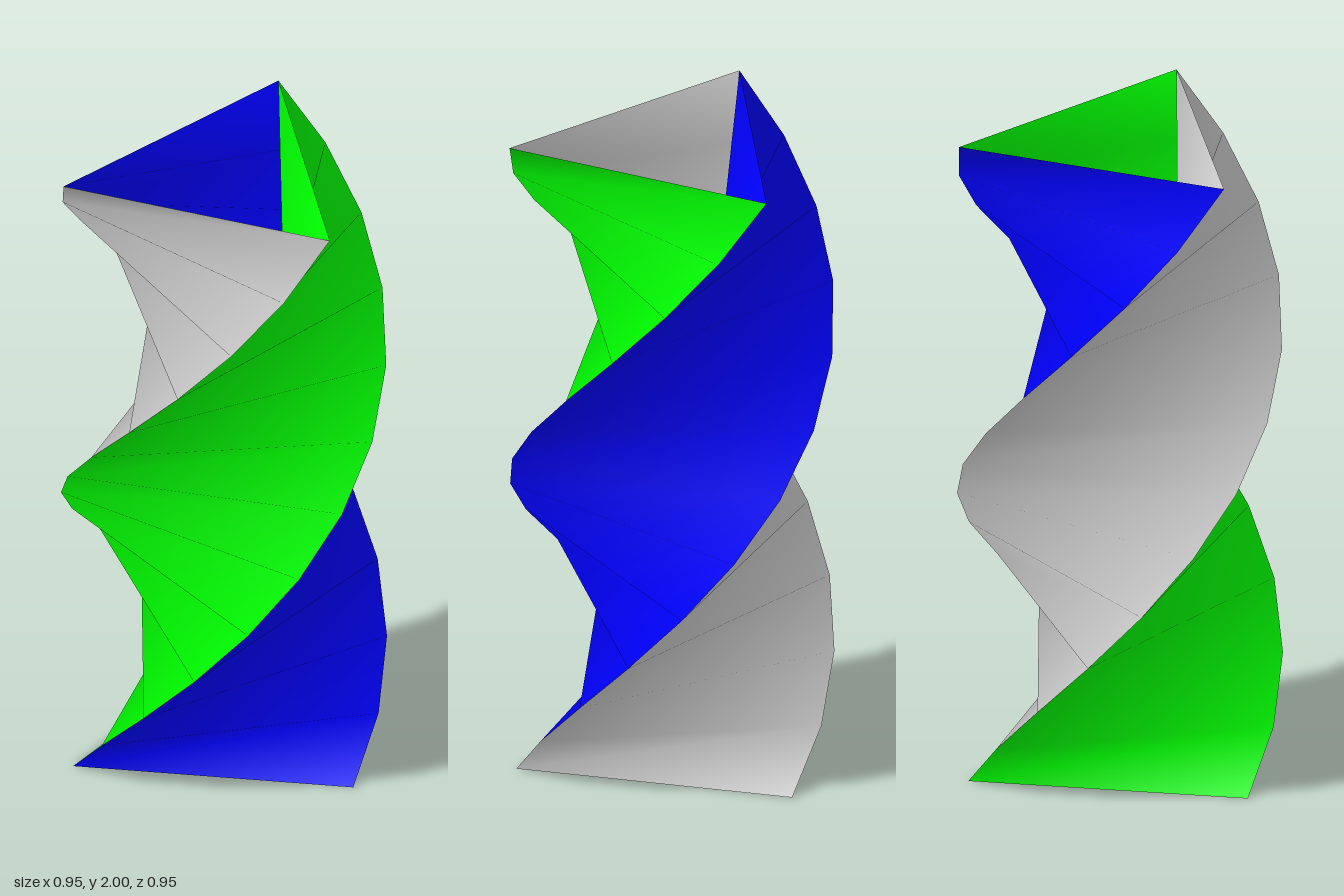
import * as THREE from 'three';

const RADIUS = 0.475, HEIGHT = 2, ROWS = 12;
const START = Math.PI / 3;                          // first corner at the base
const STEP = -THREE.MathUtils.degToRad(19);         // twist per row
const SIDE = (Math.PI * 2) / 3;                     // three corners per row

// One twisted side: a strip of rows between two neighbouring corners
function twistedSide(index) {
  const positions = [], indices = [];
  for (let row = 0; row <= ROWS; row++) {
    for (let corner = 0; corner < 2; corner++) {
      const angle = START + (index + corner) * SIDE + row * STEP;
      positions.push(RADIUS * Math.cos(angle), (HEIGHT * row) / ROWS, RADIUS * Math.sin(angle));
    }
  }
  for (let row = 0; row < ROWS; row++) {
    const a = row * 2, b = a + 1, aUp = a + 2, bUp = a + 3;
    indices.push(b, a, aUp, b, aUp, bUp);
  }
  const geometry = new THREE.BufferGeometry();
  geometry.setAttribute('position', new THREE.Float32BufferAttribute(positions, 3));
  geometry.setIndex(indices);
  geometry.computeVertexNormals();
  return geometry;
}

export function createModel() {
  const group = new THREE.Group();
  group.name = 'twistedTriangularTube';

  // Three coloured sides, open at both ends
  const sides = [['blueSide', 0x0000ff], ['greenSide', 0x00ff00], ['greySide', 0xcccccc]];
  sides.forEach(([name, color], i) => {
    const material = new THREE.MeshStandardMaterial({ color, side: THREE.DoubleSide });
    const mesh = new THREE.Mesh(twistedSide(i), material);
    mesh.name = name;
    group.add(mesh);
  });
  return group;
}
